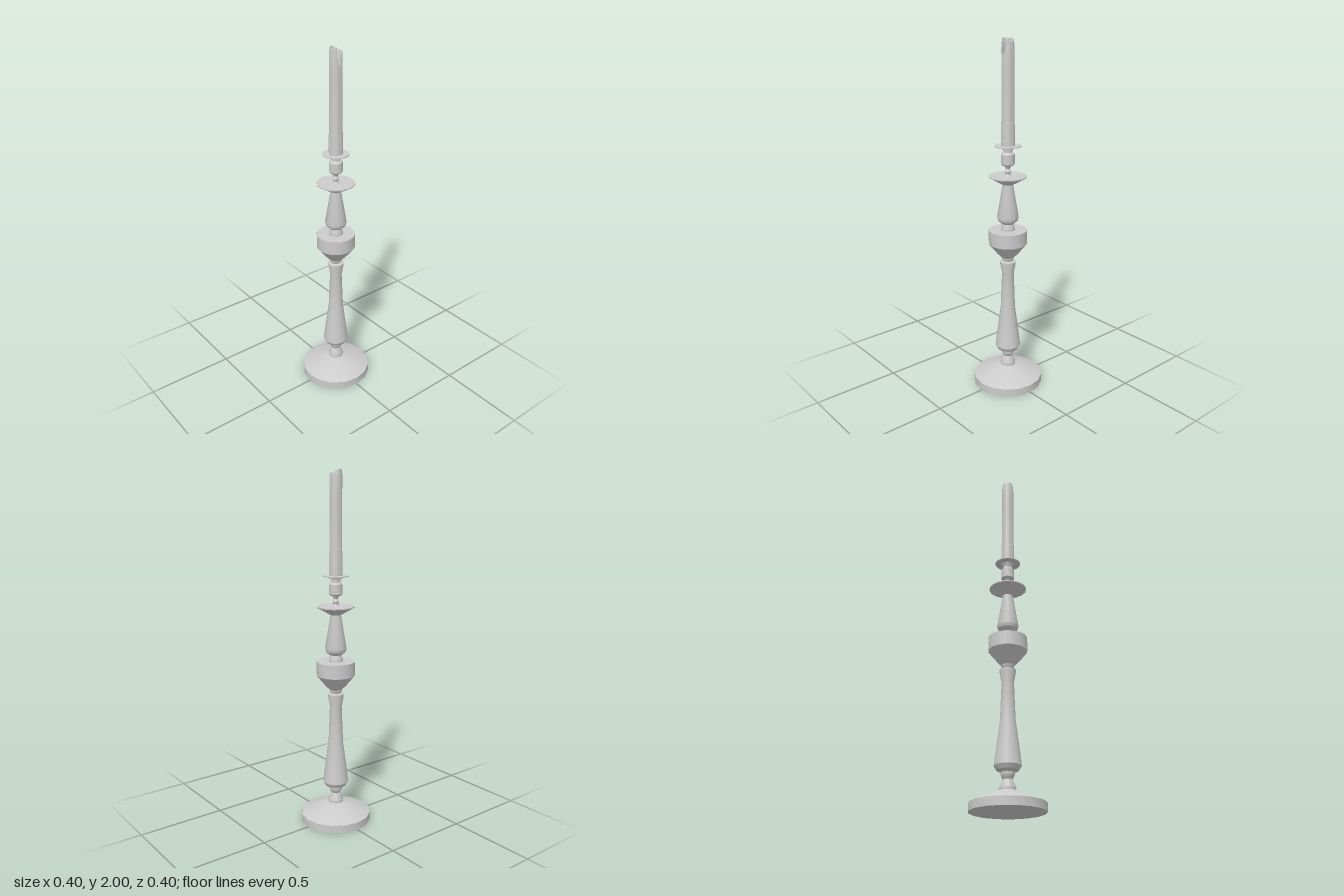
import * as THREE from 'three';
import { toCreasedNormals } from 'three/addons/utils/BufferGeometryUtils.js';

const material = new THREE.MeshStandardMaterial({ color: 0xcccccc, side: THREE.DoubleSide });

// Turned part from [radius, height] pairs, bottom to top
function turned(name, profile, sides = 16) {
  const points = profile.map(([r, y]) => new THREE.Vector2(r, y));
  const geometry = toCreasedNormals(new THREE.LatheGeometry(points, sides), 0.5);
  const mesh = new THREE.Mesh(geometry, material);
  mesh.name = name;
  return mesh;
}

// Candle with a hollow top whose rim is melted down at the front
function candle() {
  const rim = 2;
  const profile = [[0, 1.42], [0.038, 1.42], [0.038, 1.54], [0.035, 1.57], [0.0345, 1.85],
    [0.0345, 1.975], [0.031, rim], [0.027, 1.985], [0.022, 1.92], [0, 1.9]];
  const geometry = new THREE.LatheGeometry(profile.map(([r, y]) => new THREE.Vector2(r, y)), 24);
  const p = geometry.attributes.position;
  for (let i = 0; i < p.count; i++) {
    const x = p.getX(i), y = p.getY(i), z = p.getZ(i);
    if (y < 1.95) continue;
    const angle = Math.abs(Math.atan2(x, z));
    const notch = 0.09 * Math.max(0, 1 - angle / 1.05);
    const slope = Math.max(0, x) * 0.6;
    p.setY(i, y - notch - slope);
  }
  const mesh = new THREE.Mesh(toCreasedNormals(geometry, 0.7), material);
  mesh.name = 'candle';
  return mesh;
}

function wick() {
  const path = new THREE.CatmullRomCurve3([
    new THREE.Vector3(0, 1.89, 0), new THREE.Vector3(0, 1.95, 0), new THREE.Vector3(0.003, 1.995, -0.004),
  ]);
  const mesh = new THREE.Mesh(new THREE.TubeGeometry(path, 6, 0.003, 6), material);
  mesh.name = 'wick';
  return mesh;
}

export function createModel() {
  const model = new THREE.Group();
  model.name = 'candlestick';
  model.add(
    turned('base', [[0, 0], [0.202, 0], [0.202, 0.045], [0.045, 0.108], [0, 0.108]]),
    // Stacked knobs between base and column
    turned('lowerKnobs', [[0.042, 0.1], [0.044, 0.122], [0.025, 0.165], [0.03, 0.172],
      [0.036, 0.185], [0.037, 0.205], [0.03, 0.215]]),
    turned('column', [[0.034, 0.2], [0.06, 0.212], [0.073, 0.235], [0.066, 0.3], [0.042, 0.48],
      [0.034, 0.69], [0.045, 0.752], [0.045, 0.765], [0.026, 0.772], [0, 0.772]]),
    turned('columnNeck', [[0.026, 0.765], [0.036, 0.785], [0.036, 0.79], [0.025, 0.8]]),
    turned('bowl', [[0, 0.79], [0.035, 0.79], [0.06, 0.815], [0.109, 0.875], [0.109, 0.955], [0, 0.955]]),
    turned('upperNeck', [[0.04, 0.95], [0.04, 0.968], [0.03, 0.995], [0.03, 1.01]]),
    turned('upperStem', [[0, 0.993], [0.035, 0.993], [0.055, 1.01], [0.061, 1.028], [0.03, 1.215], [0.03, 1.225]]),
    turned('dish', [[0, 1.22], [0.032, 1.22], [0.106, 1.262], [0.106, 1.268], [0, 1.268]]),
    // Small bead carrying the candle cup
    turned('bead', [[0.022, 1.265], [0.014, 1.278], [0.018, 1.292], [0.011, 1.308], [0.022, 1.33]]),
    turned('candleCup', [[0, 1.328], [0.032, 1.328], [0.038, 1.335], [0.038, 1.39], [0.032, 1.398],
      [0.025, 1.4], [0.025, 1.425]]),
    turned('dripPlate', [[0, 1.412], [0.028, 1.412], [0.03, 1.424], [0.073, 1.432], [0.073, 1.437], [0, 1.437]]),
    candle(),
    wick(),
  );
  return model;
}
